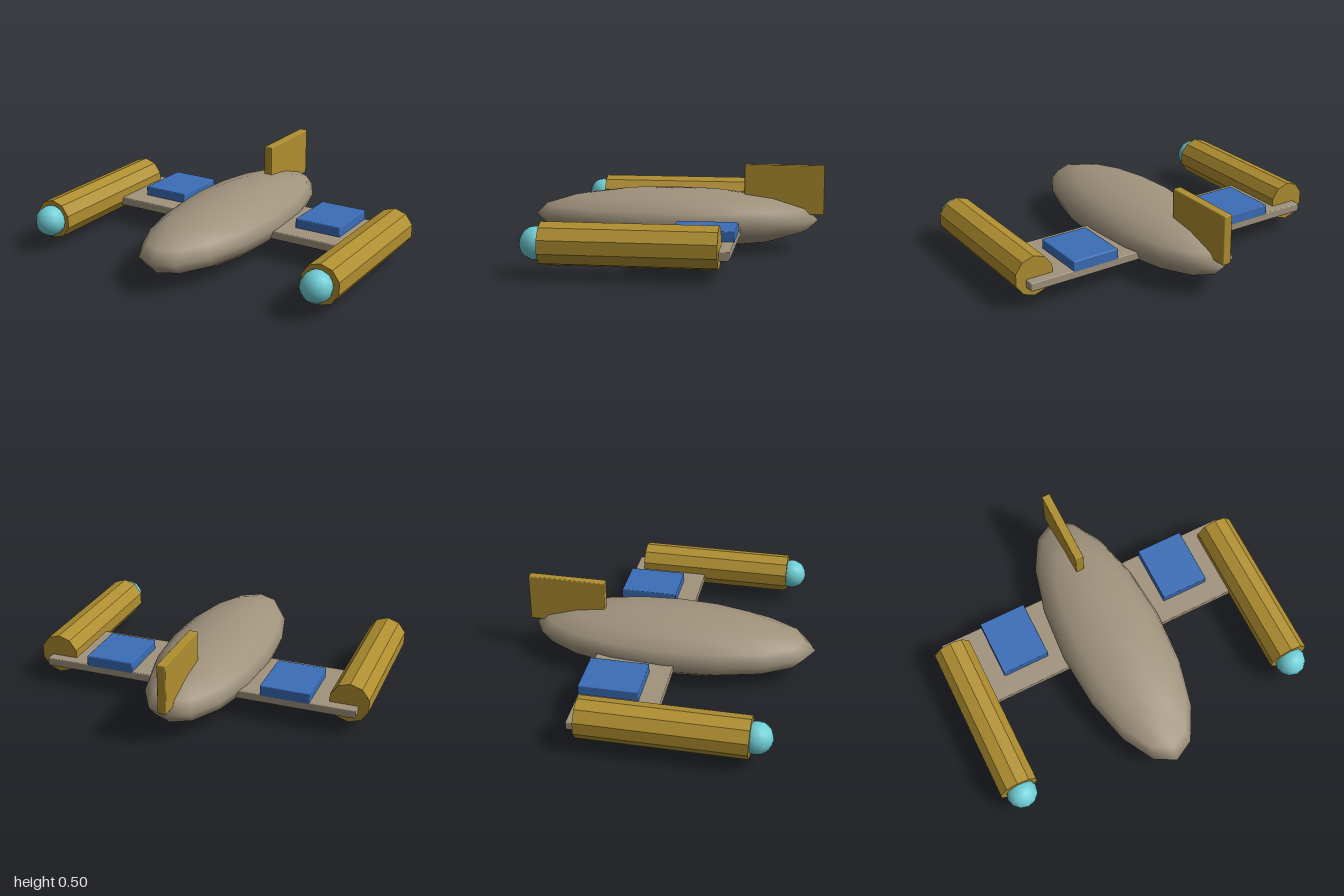
import * as THREE from 'three';
import { RoundedBoxGeometry } from 'three/addons/geometries/RoundedBoxGeometry.js';

const material = (name, color) => {
  const m = new THREE.MeshStandardMaterial({ color });
  m.name = name;
  return m;
};

export function createModel() {
  const hullGrey = material('hull grey', 0xa0937d);
  const gold = material('gold', 0xb08f30);
  const blue = material('panel blue', 0x3a6db8);
  const cyan = material('dome cyan', 0x6fced6);
  const model = new THREE.Group();
  model.name = 'spaceship';

  const add = (name, geometry, mat, x, y, z) => {
    const mesh = new THREE.Mesh(geometry, mat);
    mesh.name = name;
    mesh.position.set(x, y, z);
    model.add(mesh);
    return mesh;
  };

  // Box given by its limits, with slightly bevelled edges
  const addBox = (name, mat, [x0, x1], [y0, y1], [z0, z1]) =>
    add(name, new RoundedBoxGeometry(x1 - x0, y1 - y0, z1 - z0, 1, 0.006), mat,
      (x0 + x1) / 2, (y0 + y1) / 2, (z0 + z1) / 2);

  // Flattened ellipsoid hull
  const hull = new THREE.SphereGeometry(1, 16, 8);
  hull.scale(0.317, 0.175, 0.848);
  add('fuselage', hull, hullGrey, 0, 0.18, 0.016);

  // Wing slab and tail fin
  addBox('wing', hullGrey, [-0.94, 0.94], [0.12, 0.17], [-0.395, 0.07]);
  addBox('tailFin', gold, [-0.026, 0.026], [0.212, 0.502], [-0.866, -0.4]);

  // Ten-sided nacelle with flat facets
  const nacelle = new THREE.CylinderGeometry(0.117, 0.117, 0.94, 10).rotateX(Math.PI / 2).toNonIndexed();
  nacelle.computeVertexNormals();
  const dome = new THREE.SphereGeometry(0.09, 12, 8);

  for (const [side, s] of [['left', 1], ['right', -1]]) {
    add(`${side}Nacelle`, nacelle, gold, s * 0.889, 0.18, 0.132);
    add(`${side}Dome`, dome, cyan, s * 0.885, 0.18, 0.632);
    const xs = [s * 0.39, s * 0.678].sort((a, b) => a - b);
    addBox(`${side}WingPanel`, blue, xs, [0.16, 0.226], [-0.396, -0.05]);
  }
  return model;
}
